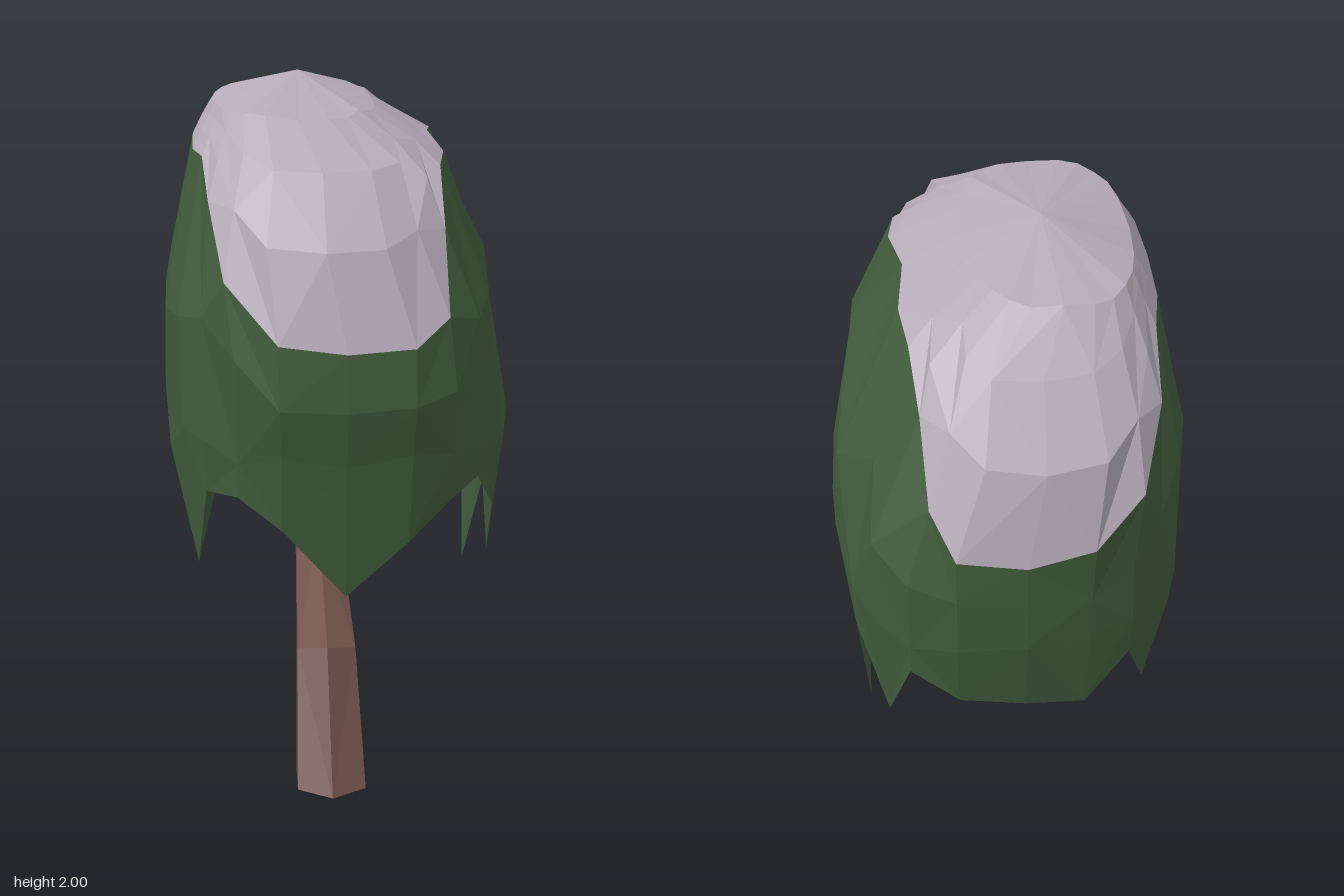
import * as THREE from 'three';

const COLUMNS = 24;

// Silhouette of the crown by height: y, centre x, half width, centre z, half depth
const PROFILE = [
  [0.33, 0, 0.45, 0, 0.66],
  [0.60, 0, 0.48, -0.02, 0.71],
  [0.90, 0, 0.525, -0.02, 0.77],
  [1.10, 0, 0.53, 0, 0.82],
  [1.35, 0, 0.53, -0.01, 0.80],
  [1.50, -0.05, 0.49, -0.02, 0.77],
  [1.65, -0.06, 0.44, -0.02, 0.71],
  [1.80, -0.06, 0.38, -0.02, 0.58],
  [1.92, -0.13, 0.24, -0.04, 0.42],
];

// Heights around the crown, from the front towards +x
const SNOW_EDGE = [1.32, 1.33, 1.40, 1.62, 1.77, 1.79, 1.82, 1.80, 1.77, 1.66, 1.45, 1.33,
  1.30, 1.33, 1.46, 1.66, 1.79, 1.80, 1.81, 1.80, 1.80, 1.70, 1.50, 1.34];
const HEM = [0.57, 0.74, 0.86, 0.91, 0.76, 0.55, 0.88, 0.34, 0.86, 0.60, 0.88, 0.78,
  0.75, 0.72, 0.88, 0.66, 0.86, 0.40, 0.92, 0.91, 0.58, 0.86, 0.87, 0.78];

// Repeatable unevenness between -1 and 1
function wobble(i, k) {
  const s = Math.sin(i * 12.9898 + k * 78.233) * 43758.5453;
  return (s - Math.floor(s)) * 2 - 1;
}

// Point on the crown surface at a column and height
function crownPoint(i, y, scale = 1) {
  let k = 0;
  while (k < PROFILE.length - 2 && y > PROFILE[k + 1][0]) k++;
  const a = PROFILE[k], b = PROFILE[k + 1];
  const t = THREE.MathUtils.clamp((y - a[0]) / (b[0] - a[0]), 0, 1);
  const [, cx, w, cz, d] = a.map((v, j) => v + (b[j] - v) * t);
  const angle = (i / COLUMNS) * Math.PI * 2;
  const round = (v) => Math.sign(v) * Math.abs(v) ** 0.75;
  // Extra lobe on one back corner
  const lobe = y < 1.45 ? 1 + 0.08 * Math.max(0, 1 - Math.abs(i - 9.7) / 2.5) : 1;
  return new THREE.Vector3(
    cx + w * scale * lobe * round(Math.sin(angle)), y,
    cz + d * scale * (1 + (lobe - 1) * 0.5) * round(Math.cos(angle)));
}

const ring = (fn) => Array.from({ length: COLUMNS }, (_, i) => fn(i));

// Faceted skin through closed rings listed from bottom to top
function skin(rings) {
  const pos = [];
  const tri = (...points) => points.forEach((p) => pos.push(p.x, p.y, p.z));
  for (let r = 0; r < rings.length - 1; r++) {
    const lo = rings[r], up = rings[r + 1], n = lo.length;
    for (let i = 0; i < n; i++) {
      const j = (i + 1) % n;
      if ((i + r) % 2) {
        tri(lo[i], lo[j], up[j]);
        tri(lo[i], up[j], up[i]);
      } else {
        tri(lo[i], lo[j], up[i]);
        tri(lo[j], up[j], up[i]);
      }
    }
  }
  const g = new THREE.BufferGeometry();
  g.setAttribute('position', new THREE.Float32BufferAttribute(pos, 3));
  g.computeVertexNormals();
  return g;
}

// Six-sided limb through sections: x, y, z, half thickness in y and z, half width
function limb(sections) {
  const rings = sections.map(([x, y, z, hy, hz, w]) =>
    Array.from({ length: 6 }, (_, i) => {
      const a = (i / 6) * Math.PI * 2;
      return new THREE.Vector3(x + Math.sin(a) * w, y + Math.cos(a) * hy, z + Math.cos(a) * hz);
    }));
  const cap = ([x, y, z]) => Array(6).fill(new THREE.Vector3(x, y, z));
  return skin([cap(sections[0]), ...rings, cap(sections[sections.length - 1])]);
}

export function createModel() {
  const material = (name, color, side = THREE.FrontSide) => {
    const m = new THREE.MeshStandardMaterial({ color, side, flatShading: true });
    m.name = name;
    return m;
  };
  const leaf = material('leafGreen', 0x425c3d, THREE.DoubleSide);
  const snow = material('snow', 0xb6acb9, THREE.DoubleSide);
  const bark = material('bark', 0x70504a);

  const tree = new THREE.Group();
  tree.name = 'tree';
  const add = (name, geometry, mat) => {
    const mesh = new THREE.Mesh(geometry, mat);
    mesh.name = name;
    tree.add(mesh);
  };

  // Drooping outer foliage from the ragged hem to the snow line
  const hem = ring((i) => crownPoint(i, HEM[i]));
  const edge = ring((i) => crownPoint(i, SNOW_EDGE[i]));
  const lower = ring((i) => crownPoint(i, 1.0 + 0.03 * wobble(i, 1), 0.99 + 0.02 * wobble(i, 2)));
  const upper = ring((i) => {
    const y = 1.0 + (SNOW_EDGE[i] - 1.0) * (0.52 + 0.1 * wobble(i, 3));
    return crownPoint(i, y, 0.99 + 0.015 * wobble(i, 4));
  });
  add('foliage', skin([hem, lower, upper, edge]), leaf);

  // Hollow underside
  const ceiling = Array(COLUMNS).fill(new THREE.Vector3(0, 1.2, 0));
  const inner = ring((i) => crownPoint(i, 0.98, 0.84));
  const innerTop = ring((i) => crownPoint(i, 1.14, 0.6));
  add('foliageUnderside', skin([ceiling, innerTop, inner, hem]), leaf);

  // Snow on the crown, running down the front and back
  const top = ring((i) => crownPoint(i, 1.92 + 0.01 * wobble(i, 5)));
  const slope = (t, k) => ring((i) =>
    crownPoint(i, SNOW_EDGE[i] + (1.92 - SNOW_EDGE[i]) * t, 1 + 0.012 * wobble(i, k)));
  const peak = Array(COLUMNS).fill(new THREE.Vector3(-0.11, 2, -0.08));
  add('snowCap', skin([edge, slope(0.45, 6), slope(0.78, 7), top, peak]), snow);

  // Leaning trunk and its forks
  add('trunk', limb([
    [-0.045, 0, 0.705, 0, 0.125, 0.115],
    [-0.05, 0.33, 0.49, 0.04, 0.1, 0.1],
    [-0.055, 0.53, 0, 0.055, 0.1, 0.08],
    [-0.055, 0.66, -0.13, 0.05, 0.07, 0.07],
    [-0.06, 1.18, -0.32, 0.02, 0.05, 0.05],
  ]), bark);
  add('branch', limb([
    [-0.055, 0.53, 0.03, 0.01, 0.07, 0.065],
    [-0.06, 0.86, 0.09, 0, 0.055, 0.05],
    [-0.06, 1.18, 0.12, 0, 0.04, 0.04],
  ]), bark);

  return tree;
}
